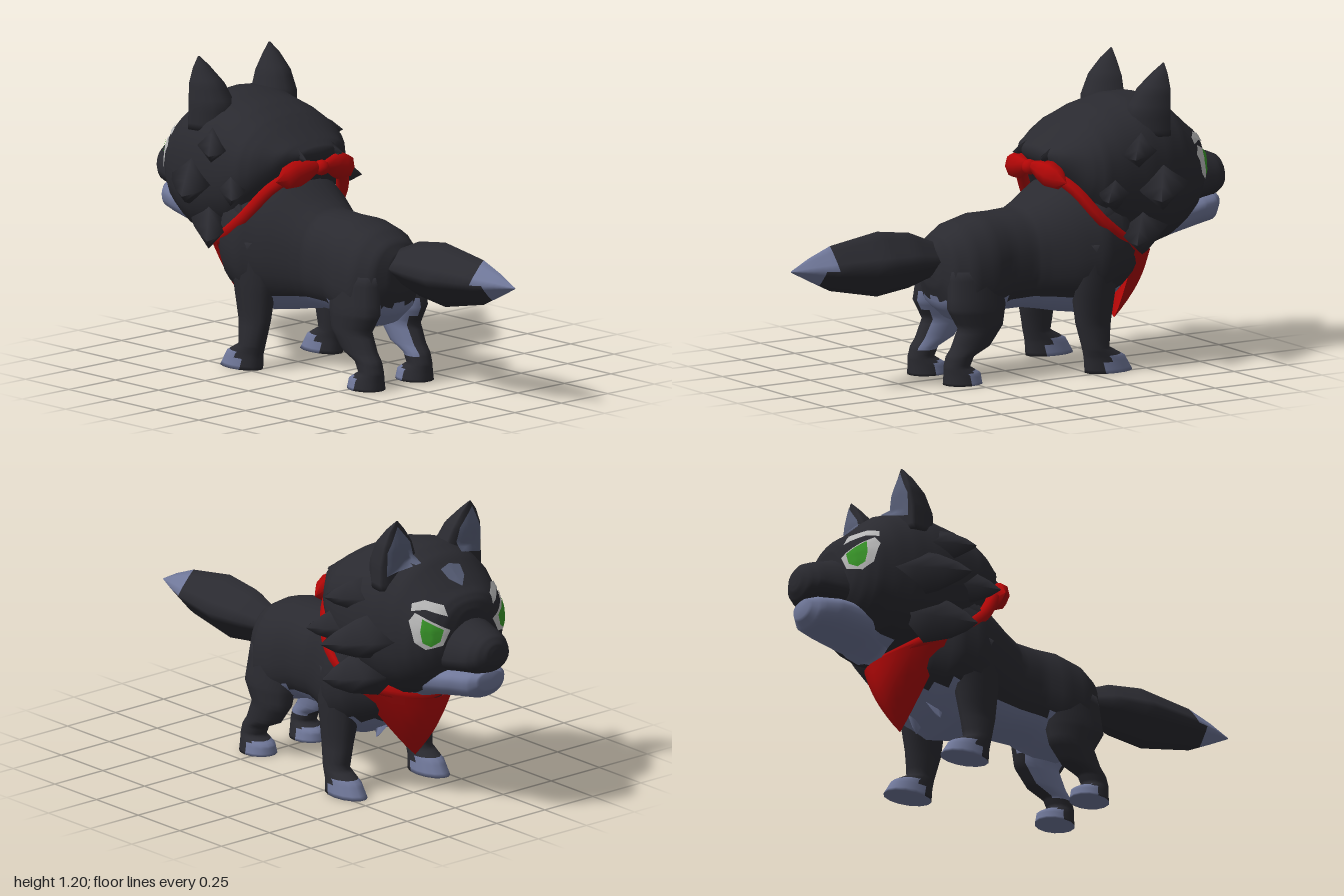
import * as THREE from 'three';
import { ParametricGeometry } from 'three/addons/geometries/ParametricGeometry.js';

const mat = (name, color, side = THREE.FrontSide) => {
  const m = new THREE.MeshStandardMaterial({ color, side });
  m.name = name;
  return m;
};
const V = (x, y, z) => new THREE.Vector3(x, y, z);

// Closed skin over a list of equal rings; light(x, y, z) picks the second material per face
function skin(rings, light) {
  const n = rings[0].length, pos = [], dark = [], pale = [];
  rings.forEach((r) => r.forEach((p) => pos.push(p.x, p.y, p.z)));
  [rings[0], rings[rings.length - 1]].forEach((r) => {
    const c = r.reduce((s, p) => s.add(p), V(0, 0, 0)).divideScalar(n);
    pos.push(c.x, c.y, c.z);
  });
  const face = (...f) => {
    const mid = [0, 1, 2].map((k) => f.reduce((s, i) => s + pos[i * 3 + k], 0) / f.length);
    const list = light && light(...mid) ? pale : dark;
    for (let i = 2; i < f.length; i++) list.push(f[0], f[i - 1], f[i]);
  };
  const total = rings.length * n, last = total - n;
  for (let j = 0; j < n; j++) {
    const k = (j + 1) % n;
    face(total, j, k);
    face(total + 1, last + k, last + j);
    for (let i = 0; i < last; i += n) face(i + j, i + n + j, i + n + k, i + k);
  }
  const g = new THREE.BufferGeometry();
  g.setAttribute('position', new THREE.Float32BufferAttribute(pos, 3));
  g.setIndex([...dark, ...pale]);
  g.addGroup(0, dark.length, 0);
  if (pale.length) g.addGroup(dark.length, pale.length, 1);
  g.computeVertexNormals();
  return g;
}

// Subdivide a section list linearly
function refine(list, k) {
  const out = [list[0]];
  for (let i = 1; i < list.length; i++)
    for (let s = 1; s <= k; s++)
      out.push(list[i].map((v, c) => THREE.MathUtils.lerp(list[i - 1][c], v, s / k)));
  return out;
}
const bend = (v, e) => Math.sign(v) * Math.abs(v) ** (2 / e);
const ring = (n, f) => Array.from({ length: n }, (_, j) => f((j / n) * Math.PI * 2));

// Sections [z, halfWidth, top, bottom, widestY] from back to front
const loftZ = (list, light, n = 28, e = 2.3) => skin(refine(list, 4).map(([z, w, t, b, m]) => ring(n, (a) => {
  const s = bend(Math.sin(a), e);
  return V(w * bend(Math.cos(a), e), m + s * (s > 0 ? t - m : m - b), z);
})), light);

// Sections [y, centreX, centreZ, radiusX, radiusZ] from top to bottom; front flattens the -z half
const loftY = (list, side, light, front = 1) => skin(refine(list, 4).map(([y, x, z, rx, rz]) =>
  ring(14, (a) => V(side * x + rx * Math.cos(a), y, z - rz * Math.sin(a) * (Math.sin(a) > 0 ? front : 1)))), light);

// Thin patch laid on target meshes along direction -n, outline in the plane facing n
function patch(targets, outline, centre, n, mirror, lift) {
  n = n.clone().normalize();
  const u = V(0, 1, 0).cross(n).normalize(), v = n.clone().cross(u);
  let pts = outline.map(([a, b]) => new THREE.Vector2(a * mirror, b));
  if (THREE.ShapeUtils.area(pts) < 0) pts.reverse();
  pts = pts.flatMap((p, i) => [0, 1, 2].map((s) => p.clone().lerp(pts[(i + 1) % pts.length], s / 3)));
  const c = pts.reduce((s, p) => s.add(p), new THREE.Vector2()).divideScalar(pts.length);
  const ray = new THREE.Raycaster(), pos = [], idx = [], N = pts.length, R = 5;
  for (let r = 0; r <= R; r++) for (const p of pts) {
    const q = c.clone().lerp(p, r / R);
    const base = centre.clone().addScaledVector(u, q.x).addScaledVector(v, q.y);
    ray.set(base.clone().addScaledVector(n, 0.5), n.clone().negate());
    const hit = ray.intersectObjects(targets)[0];
    const at = (hit && hit.distance < 0.62 ? hit.point : base).clone().addScaledVector(n, lift);
    pos.push(at.x, at.y, at.z);
  }
  for (let r = 0; r < R; r++) for (let j = 0; j < N; j++) {
    const a = r * N + j, b = r * N + (j + 1) % N;
    idx.push(a, a + N, b, b, a + N, b + N);
  }
  const g = new THREE.BufferGeometry();
  g.setAttribute('position', new THREE.Float32BufferAttribute(pos, 3));
  g.setIndex(idx);
  g.computeVertexNormals();
  return g;
}

// Leaf-like fur lock with a diamond section, from a base of height h and depth d to a tip
function tuft(s, tip, base, h, d) {
  const sections = [[0, 1], [0.5, 0.72], [0.8, 0.38], [1, 0.02]];
  return skin(sections.map(([t, k]) => {
    const c = V(...base).lerp(V(...tip), t);
    const r = [[h, 0], [0, -d], [-h, 0], [0, d]].map(([y, z]) => V(s * c.x, c.y + y * k, c.z + z * k));
    return s > 0 ? r : r.reverse();
  }));
}

export function createModel() {
  const fur = mat('darkFur', 0x2a2a30), pale = mat('paleFur', 0x70789a), slate = mat('slateFur', 0x596079);
  const red = mat('redCloth', 0xb40707, THREE.DoubleSide), white = mat('eyeWhite', 0xbdbdbd), green = mat('irisGreen', 0x3a9a2a);
  const model = new THREE.Group();
  const add = (name, geo, m) => {
    const mesh = new THREE.Mesh(geo, m);
    mesh.name = name;
    model.add(mesh);
    return mesh;
  };
  const coat = [fur, pale];

  add('body', loftZ([
    [0.35, 0.06, 0.53, 0.38, 0.43], [0.32, 0.14, 0.58, 0.29, 0.4], [0.25, 0.185, 0.62, 0.23, 0.38],
    [0.15, 0.19, 0.645, 0.23, 0.4], [0.06, 0.17, 0.645, 0.255, 0.43], [-0.04, 0.175, 0.65, 0.255, 0.44],
    [-0.1, 0.2, 0.68, 0.245, 0.45], [-0.2, 0.25, 0.74, 0.225, 0.46], [-0.3, 0.29, 0.78, 0.21, 0.48],
    [-0.4, 0.28, 0.78, 0.26, 0.5], [-0.5, 0.2, 0.7, 0.32, 0.5], [-0.55, 0.1, 0.6, 0.4, 0.5],
  ], (x, y, z) => y < 0.325 && z > -0.47), coat);

  add('tail', loftZ([
    [1, 0.003, 0.503, 0.497, 0.5], [0.92, 0.042, 0.545, 0.455, 0.5], [0.82, 0.08, 0.585, 0.405, 0.495],
    [0.6, 0.122, 0.62, 0.36, 0.49], [0.45, 0.105, 0.6, 0.38, 0.49], [0.32, 0.06, 0.545, 0.42, 0.48],
    [0.26, 0.04, 0.52, 0.44, 0.48],
  ], (x, y, z) => z > (y > 0.5 ? 0.82 : 0.87), 12, 1.1), coat);

  const head = add('head', loftZ([
    [-0.13, 0.08, 0.88, 0.84, 0.86], [-0.17, 0.17, 0.91, 0.78, 0.85], [-0.25, 0.255, 0.965, 0.66, 0.8],
    [-0.3, 0.285, 0.995, 0.59, 0.78], [-0.38, 0.295, 1.03, 0.5, 0.76], [-0.5, 0.3, 1.06, 0.46, 0.75],
    [-0.6, 0.29, 1.06, 0.45, 0.74], [-0.68, 0.27, 1.03, 0.47, 0.74], [-0.75, 0.245, 0.965, 0.52, 0.74],
    [-0.79, 0.215, 0.93, 0.55, 0.75], [-0.82, 0.18, 0.91, 0.59, 0.75], [-0.84, 0.14, 0.885, 0.62, 0.75],
    [-0.85, 0.08, 0.85, 0.65, 0.75],
  ], (x, y, z) => z < -0.62 && y < 0.52 && Math.abs(x) < 0.15), coat);

  const muzzle = add('muzzle', loftZ([
    [-0.78, 0.15, 0.835, 0.58, 0.67], [-0.86, 0.135, 0.81, 0.6, 0.67], [-0.94, 0.112, 0.785, 0.61, 0.68],
    [-0.975, 0.085, 0.77, 0.625, 0.69], [-0.995, 0.05, 0.745, 0.655, 0.7], [-1, 0.02, 0.72, 0.68, 0.7],
  ], null, 24, 2), [fur]);
  add('lowerJaw', loftZ([
    [-0.62, 0.12, 0.58, 0.44, 0.54], [-0.72, 0.15, 0.62, 0.475, 0.56], [-0.85, 0.135, 0.63, 0.5, 0.58],
    [-0.93, 0.1, 0.63, 0.51, 0.58], [-0.965, 0.06, 0.62, 0.55, 0.59],
  ]), [pale]);

  add('foreheadMark', patch([head], [[-0.05, 0.035], [0, 0.05], [0.05, 0.035], [0.04, -0.015], [0, -0.06], [-0.04, -0.015]],
    V(0, 0.975, -0.75), V(0, 0.7, -0.7), 1, 0.006), slate);

  for (const s of [1, -1]) {
    const side = s > 0 ? 'left' : 'right';

    // Legs with pale toes and soles
    add(side + 'FrontLeg', loftY([
      [0.52, 0.2, -0.31, 0.08, 0.12], [0.35, 0.2, -0.285, 0.07, 0.1], [0.2, 0.205, -0.28, 0.05, 0.078],
      [0.1, 0.215, -0.285, 0.05, 0.058], [0.06, 0.215, -0.325, 0.055, 0.09], [0, 0.215, -0.345, 0.063, 0.105],
    ], s, (x, y, z) => y < 0.005 || (y < 0.075 && z < -0.31)), coat);
    add(side + 'HindLeg', loftY([
      [0.45, 0.11, 0.2, 0.07, 0.13], [0.3, 0.125, 0.215, 0.072, 0.13], [0.22, 0.13, 0.2, 0.06, 0.1],
      [0.145, 0.13, 0.245, 0.052, 0.088], [0.11, 0.13, 0.295, 0.048, 0.06], [0.07, 0.13, 0.31, 0.048, 0.055],
      [0.04, 0.13, 0.285, 0.06, 0.08], [0, 0.13, 0.282, 0.07, 0.083],
    ], s, (x, y, z) => y < 0.005 || (y < 0.055 && z < 0.275) || (Math.abs(x) < 0.1 && y > 0.1 && y < 0.33)), coat);

    // Flat-fronted ears with a paler inside
    const ear = add(side + 'Ear', loftY([
      [1.2, 0.19, -0.62, 0.004, 0.004], [1.16, 0.187, -0.615, 0.038, 0.045], [1.1, 0.178, -0.61, 0.072, 0.1],
      [1.02, 0.167, -0.6, 0.095, 0.13], [0.92, 0.165, -0.6, 0.1, 0.13],
    ], s, null, 0.2), [fur]);
    add(side + 'InnerEar', patch([ear, head], [[-0.065, -0.05], [0.072, -0.09], [0.072, 0.01], [0.024, 0.11], [-0.04, 0.035]],
      V(s * 0.17, 1.07, -0.63), V(0, 0, -1), -s, 0.006), slate);

    // Eyes and brows
    const eye = (name, pts, lift, m) => add(side + name, patch([head, muzzle], pts,
      V(s * 0.18, 0.79, -0.81), V(s * 0.58, 0.05, -0.81), -s, lift), m);
    eye('Eye', [[-0.08, 0], [-0.05, -0.06], [0.02, -0.075], [0.065, -0.045], [0.085, 0.04], [0.06, 0.072], [0, 0.042]], 0.005, white);
    eye('Iris', [[-0.052, 0.005], [-0.038, -0.042], [0, -0.062], [0.033, -0.045], [0.042, 0], [0.033, 0.05], [0, 0.033]], 0.009, green);
    eye('Brow', [[-0.07, 0.056], [0.02, 0.084], [0.075, 0.078], [0.07, 0.106], [0.02, 0.118], [-0.055, 0.098]], 0.006, white);

    // Cheek and mane fur
    [
      [[0.44, 0.7, -0.45], [0.21, 0.74, -0.61], 0.11, 0.14],
      [[0.36, 0.86, -0.38], [0.21, 0.88, -0.51], 0.08, 0.11],
      [[0.37, 0.52, -0.38], [0.21, 0.57, -0.53], 0.11, 0.12],
      [[0.35, 0.7, -0.26], [0.21, 0.74, -0.42], 0.09, 0.11],
      [[0.27, 0.61, -0.28], [0.22, 0.64, -0.42], 0.09, 0.1],
      [[0.1, 0.85, -0.1], [0.08, 0.88, -0.22], 0.04, 0.06],
    ].forEach(([tip, base, h, d]) => add(side + 'FurTuft', tuft(s, tip, base, h, d), fur));
    add(side + 'ChestTuft', tuft(s, [0.09, 0.22, -0.38], [0.05, 0.34, -0.41], 0.05, 0.05), pale);

    // Drooping bow loop
    const loop = new THREE.LatheGeometry([[0, 0], [0.022, 0.01], [0.044, 0.06], [0.056, 0.11], [0.046, 0.16], [0, 0.205]]
      .map(([r, l]) => new THREE.Vector2(r, l)), 7);
    loop.scale(1, 1, 0.7).rotateZ(-s * (Math.PI / 2 + 0.22)).rotateY(s * 0.2).translate(s * 0.015, 0.815, -0.112);
    add(side + 'BowLoop', loop, red);
  }

  // Neckerchief: knot, band and hanging bib
  add('knot', new THREE.IcosahedronGeometry(0.032, 1).translate(0, 0.805, -0.115), red);
  const half = [[0.13, 0.775, -0.165], [0.195, 0.73, -0.205], [0.255, 0.62, -0.285], [0.262, 0.54, -0.38], [0.2, 0.48, -0.51]];
  const loopPts = [V(0, 0.8, -0.14), ...half.map((p) => V(...p)), V(0, 0.44, -0.6),
    ...half.slice().reverse().map(([x, y, z]) => V(-x, y, z))];
  add('neckBand', new THREE.TubeGeometry(new THREE.CatmullRomCurve3(loopPts, true), 48, 0.026, 6, true), red);
  add('bib', new ParametricGeometry((a, t, out) => {
    const u = a * 2 - 1, bulge = Math.sin(t * Math.PI) * 0.03;
    out.set(0.275 * u * (1 - t) ** 0.9, THREE.MathUtils.lerp(0.43 + 0.08 * u * u, 0.16, t),
      THREE.MathUtils.lerp(-0.64 + 0.2 * u * u, -0.51, t) - bulge * (1 - u * u));
  }, 12, 8), red);

  return model;
}
